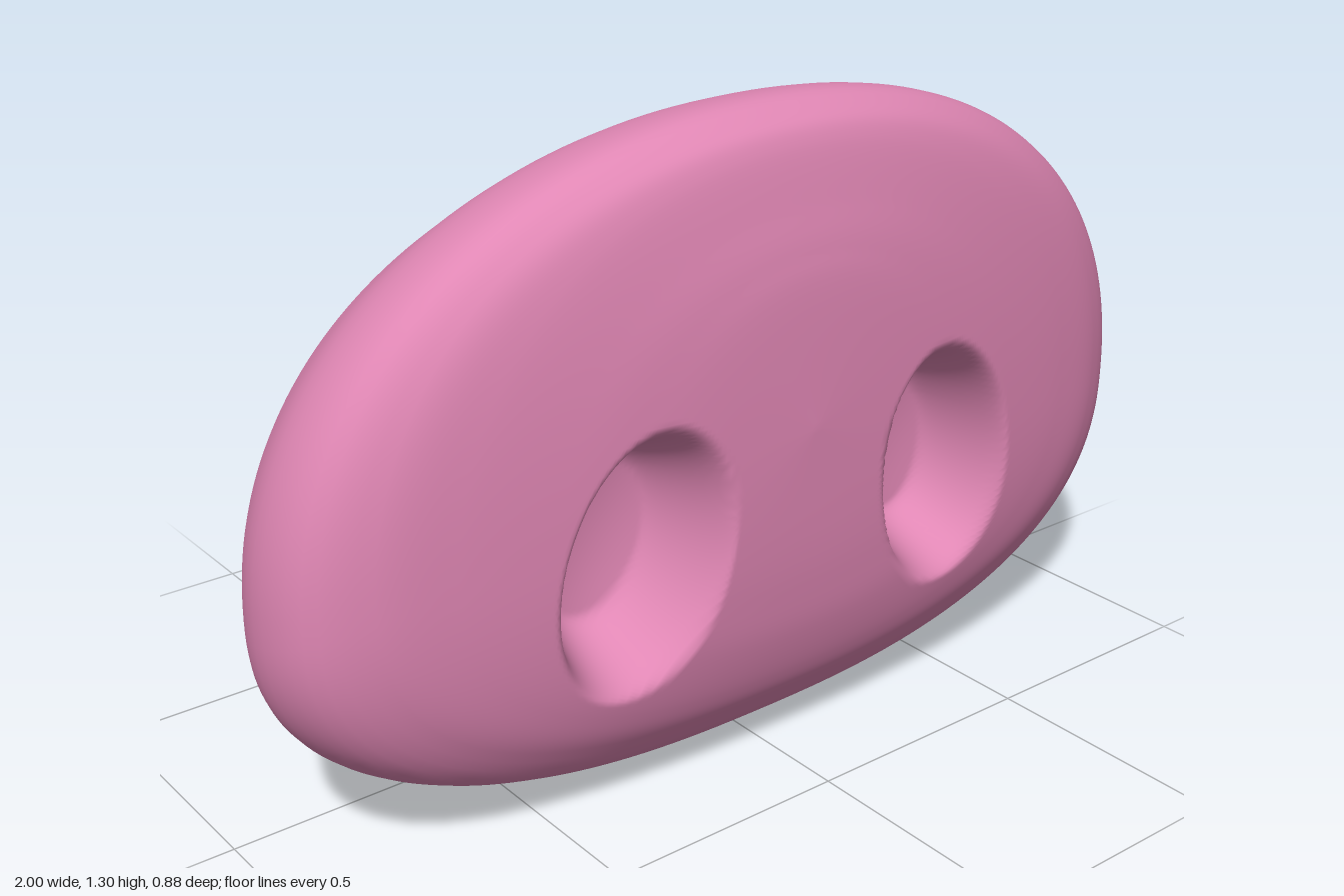
import * as THREE from 'three';
import { mergeVertices } from 'three/addons/utils/BufferGeometryUtils.js';

// Cross-sections from front to back: z, half width, top, bottom
const SECTIONS = [
  [0.44, 0, 0.72, 0.72],
  [0.432, 0.24, 0.96, 0.50],
  [0.422, 0.40, 1.05, 0.38],
  [0.408, 0.54, 1.12, 0.29],
  [0.38, 0.73, 1.235, 0.195],
  [0.345, 0.87, 1.28, 0.13],
  [0.28, 0.972, 1.305, 0.055],
  [0.16, 1.0, 1.28, 0.01],
  [0.04, 0.96, 1.215, 0.008],
  [-0.09, 0.87, 1.14, 0.04],
  [-0.25, 0.71, 1.02, 0.105],
  [-0.365, 0.56, 0.88, 0.18],
  [-0.415, 0.44, 0.75, 0.28],
  [-0.44, 0.29, 0.645, 0.4],
  [-0.444, 0, 0.54, 0.54],
];
const FRONT_SECTIONS = 5; // finely divided, they carry the nostrils
const SEGMENTS = 200;

// Depth of the tilted oval nostrils, mirrored in x
function nostrilDepth(x, y) {
  const tilt = 0.2;
  const dx = Math.abs(x) - 0.365, dy = y - 0.535;
  const u = (dx * Math.cos(tilt) + dy * Math.sin(tilt)) / 0.178;
  const v = (dy * Math.cos(tilt) - dx * Math.sin(tilt)) / 0.262;
  const r = Math.hypot(u, v);
  const wall = 1 - THREE.MathUtils.smoothstep(r, 0.6, 1.03);
  return 0.15 * wall + 0.05 * Math.max(0, 1 - r * r);
}

function snoutGeometry() {
  const spline = new THREE.CubicInterpolant(SECTIONS.map((s, i) => i), SECTIONS.flat(), 4);
  const positions = [], indices = [];

  // Ring positions along the sections
  const steps = [];
  for (let i = 0; i < SECTIONS.length - 1; i++) {
    const n = i < FRONT_SECTIONS ? 20 : 4;
    for (let k = 0; k < n; k++) steps.push(i + k / n);
  }
  steps.push(SECTIONS.length - 1);

  // Egg-shaped rings: the upper half is taller than the lower half
  for (const t of steps) {
    const [z, width, top, bottom] = spline.evaluate(t);
    const middle = bottom + 0.4 * (top - bottom);
    for (let j = 0; j < SEGMENTS; j++) {
      const a = (j / SEGMENTS) * Math.PI * 2;
      const c = Math.cos(a), s = Math.sin(a);
      const power = 2 / (s > 0 ? 2.15 : 2.4);
      const x = width * Math.sign(c) * Math.abs(c) ** power;
      const height = s > 0 ? top - middle : middle - bottom;
      const y = middle + height * Math.sign(s) * Math.abs(s) ** power;
      positions.push(x, y, z - (t < FRONT_SECTIONS ? nostrilDepth(x, y) : 0));
    }
  }

  // Skin between the rings
  for (let k = 0; k < steps.length - 1; k++) {
    for (let j = 0; j < SEGMENTS; j++) {
      const next = (j + 1) % SEGMENTS;
      const a = k * SEGMENTS + j, b = k * SEGMENTS + next;
      const c = a + SEGMENTS, d = b + SEGMENTS;
      if (k < steps.length - 2) indices.push(a, c, d);
      else indices.push(a, c, b);
      if (k > 0 && k < steps.length - 2) indices.push(a, d, b);
    }
  }

  const geometry = new THREE.BufferGeometry();
  geometry.setAttribute('position', new THREE.Float32BufferAttribute(positions, 3));
  geometry.setIndex(indices);
  const merged = mergeVertices(geometry, 1e-5);
  merged.computeVertexNormals();
  return merged;
}

export function createModel() {
  const group = new THREE.Group();
  group.name = 'pigSnout';
  const pink = new THREE.MeshStandardMaterial({ color: 0xe087b4 });
  pink.name = 'pink';
  const snout = new THREE.Mesh(snoutGeometry(), pink);
  snout.name = 'snoutWithNostrils';
  group.add(snout);
  return group;
}
